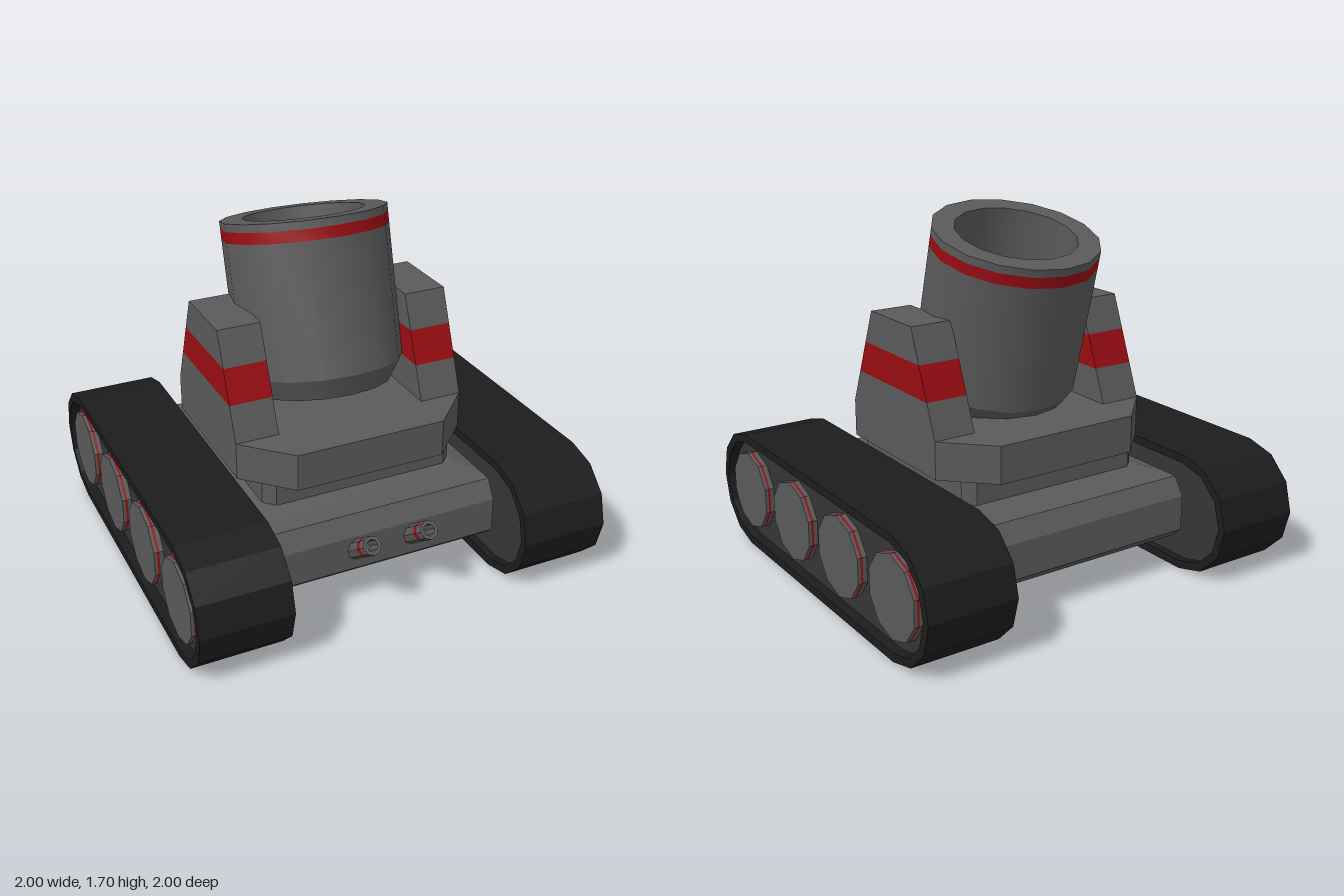
import * as THREE from 'three';
import { toCreasedNormals } from 'three/addons/utils/BufferGeometryUtils.js';

const mat = (color) => new THREE.MeshStandardMaterial({ color });
const steel = mat(0x5a5a5a), dark = mat(0x353535), rubber = mat(0x1c1c1c), red = mat(0x990c12);

function add(parent, name, geometry, material) {
  const mesh = new THREE.Mesh(geometry, material);
  mesh.name = name;
  parent.add(mesh);
  return mesh;
}

const toShape = (pts) => new THREE.Shape(pts.map(([x, y]) => new THREE.Vector2(x, y)));

// Side profile (z, y), symmetric in z, extruded from x0 to x1
function across(pts, x0, x1, hole) {
  const shape = toShape(pts);
  if (hole) shape.holes.push(toShape(hole));
  return new THREE.ExtrudeGeometry(shape, { depth: x1 - x0, bevelEnabled: false })
    .rotateY(Math.PI / 2).translate(x0, 0, 0);
}

// Square plan with cut corners, extruded from y0 to y1
function plate(half, corner, y0, y1) {
  const h = half, c = corner;
  const pts = [[h, -c], [h, c], [c, h], [-c, h], [-h, c], [-h, -c], [-c, -h], [c, -h]];
  return new THREE.ExtrudeGeometry(toShape(pts), { depth: y1 - y0, bevelEnabled: false })
    .rotateX(-Math.PI / 2).translate(0, y0, 0);
}

// Mirrors the right half of a profile across z = 0
const mirrored = (half) => [...half, ...half.map(([z, y]) => [-z, y]).reverse()];

// Track outline: two half-circles of six facets each
function trackOutline(r) {
  const half = [];
  for (let i = 0; i <= 6; i++) {
    const a = -Math.PI / 2 + (i * Math.PI) / 6;
    half.push([0.713 + r * Math.cos(a), 0.287 + r * Math.sin(a)]);
  }
  return mirrored(half);
}

function turned(pts, sides) {
  const profile = pts.map(([r, y]) => new THREE.Vector2(r, y));
  return toCreasedNormals(new THREE.LatheGeometry(profile, sides), 0.45);
}

function disc(r, x0, x1) {
  return toCreasedNormals(new THREE.CylinderGeometry(r, r, x1 - x0, 10), 0.3)
    .rotateY(Math.PI / 2).rotateZ(-Math.PI / 2).translate((x0 + x1) / 2, 0, 0);
}

function createTrack(side) {
  const track = new THREE.Group();
  track.name = side > 0 ? 'leftTrack' : 'rightTrack';
  add(track, 'tread', across(trackOutline(0.287), 0.572, 1, trackOutline(0.247)), rubber);
  add(track, 'trackPanel', across(trackOutline(0.247), 0.61, 0.95), dark);
  for (let i = 0; i < 4; i++) {
    const wheel = new THREE.Group();
    wheel.name = 'wheel';
    wheel.position.set(0, 0.287, 0.7 - i * 0.4667);
    add(wheel, 'wheelBase', disc(0.193, 0.94, 0.97), steel);
    add(wheel, 'wheelBand', disc(0.193, 0.97, 0.98), red);
    add(wheel, 'wheelFace', disc(0.193, 0.98, 0.995), steel);
    track.add(wheel);
  }
  if (side < 0) track.rotation.y = Math.PI;
  return track;
}

// Tapering support beside the barrel, in three coloured layers
function createBracket(side) {
  const bracket = new THREE.Group();
  bracket.name = side > 0 ? 'leftBracket' : 'rightBracket';
  const width = (y) => 0.365 - (y - 0.77) * 0.395;
  const layers = [
    ['bracketFoot', 0.77, 0.93, steel],
    ['bracketBand', 0.93, 1.085, red],
    ['bracketTop', 1.085, 1.245, steel],
  ];
  const [x0, x1] = side > 0 ? [0.365, 0.572] : [-0.572, -0.365];
  for (const [name, y0, y1, material] of layers) {
    add(bracket, name, across(mirrored([[width(y0), y0], [width(y1), y1]]), x0, x1), material);
  }
  return bracket;
}

// Large tilted barrel; its local origin is the centre of the mouth
function createBarrel() {
  const barrel = new THREE.Group();
  barrel.name = 'barrel';
  barrel.position.set(0, 1.597, -0.16);
  barrel.rotation.x = -Math.PI / 12;
  add(barrel, 'barrelBody', turned([[0, -0.82], [0.327, -0.82], [0.392, -0.717], [0.392, -0.09]], 16), steel);
  add(barrel, 'barrelBand', turned([[0.392, -0.09], [0.392, -0.037]], 16), red);
  add(barrel, 'barrelMouth', turned(
    [[0.392, -0.037], [0.392, 0], [0.287, 0], [0.287, -0.56], [0.19, -0.67], [0, -0.67]], 16), steel);
  return barrel;
}

// Small gun angled up from the hull front
function createGun(x) {
  const gun = new THREE.Group();
  gun.name = 'smallGun';
  gun.position.set(x, 0.415, 0.86);
  gun.rotation.x = THREE.MathUtils.degToRad(53);
  add(gun, 'gunBody', turned([[0.044, -0.25], [0.044, -0.08]], 8), steel);
  add(gun, 'gunBand', turned([[0.044, -0.08], [0.044, -0.05]], 8), red);
  add(gun, 'gunMuzzle', turned([[0.044, -0.05], [0.044, 0], [0.028, 0], [0.028, -0.1], [0, -0.1]], 8), steel);
  return gun;
}

export function createModel() {
  const model = new THREE.Group();
  model.name = 'mortarTank';

  // Hull with bevelled ends and a low raised deck
  add(model, 'hull', across(mirrored([[0.655, 0.15], [0.71, 0.2], [0.71, 0.37], [0.655, 0.455]]), -0.575, 0.575), steel);
  const deck = new THREE.CylinderGeometry(0.49 * Math.SQRT2, 0.57 * Math.SQRT2, 0.025, 4)
    .rotateY(Math.PI / 4).translate(0, 0.4665, 0).toNonIndexed();
  deck.computeVertexNormals();
  add(model, 'deck', deck, steel);

  // Turning neck and turret base
  add(model, 'neck', plate(0.48, 0.43, 0.46, 0.6), steel);
  add(model, 'turretBase', plate(0.572, 0.365, 0.592, 0.77), steel);

  for (const side of [1, -1]) {
    model.add(createTrack(side), createBracket(side), createGun(side * 0.142));
  }
  model.add(createBarrel());
  return model;
}
